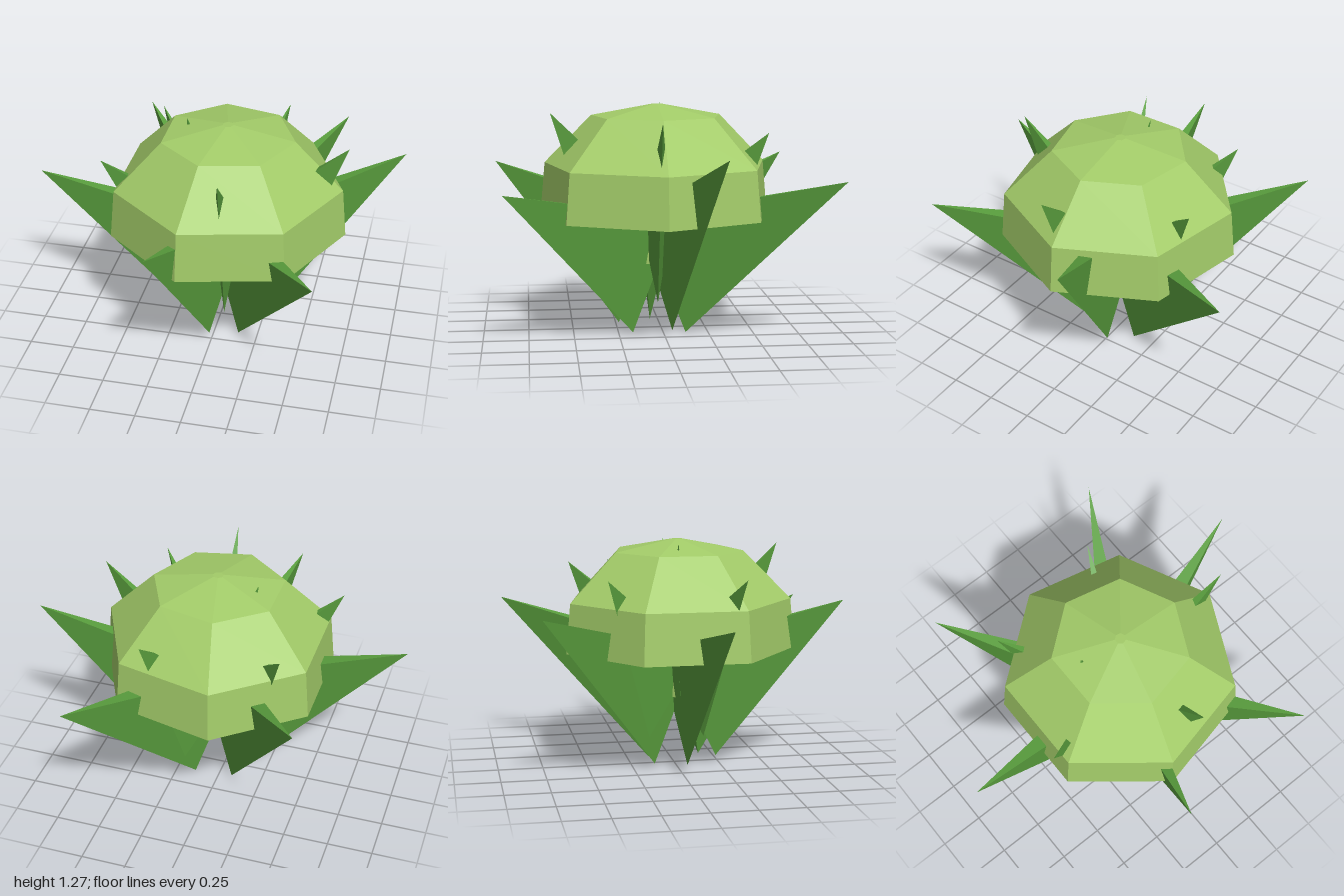
import * as THREE from 'three';
import { ConvexGeometry } from 'three/addons/geometries/ConvexGeometry.js';

const CENTRE = { x: 0.04, z: 0.027 };

const domeGreen = new THREE.MeshStandardMaterial({ color: 0xa3cc69, flatShading: true });
domeGreen.name = 'light green';
const leafGreen = new THREE.MeshStandardMaterial({ color: 0x5a9f3e, flatShading: true });
leafGreen.name = 'leaf green';

// Wedge leaf: a sharp outer edge from tip to foot, widening to a short edge near the middle
function leaf(name, tip, foot, innerY, halfWidth) {
  const dir = new THREE.Vector3(tip[0] - CENTRE.x, 0, tip[2] - CENTRE.z).normalize();
  const side = new THREE.Vector3(-dir.z, 0, dir.x);
  const inner = new THREE.Vector3(CENTRE.x, innerY, CENTRE.z).addScaledVector(dir, -0.06);
  const geometry = new ConvexGeometry([
    new THREE.Vector3(...tip),
    new THREE.Vector3(...foot),
    inner.clone().addScaledVector(side, halfWidth),
    inner.clone().addScaledVector(side, -halfWidth),
  ]);
  const mesh = new THREE.Mesh(geometry, leafGreen);
  mesh.name = name;
  return mesh;
}

export function createModel() {
  const model = new THREE.Group();
  model.name = 'plant';

  // Seven-sided head with a shallow conical underside
  const profile = [[0, 0.565], [0.663, 0.67], [0.637, 0.947], [0.37, 1.215], [0.03, 1.28], [0, 1.28]]
    .map(([r, y]) => new THREE.Vector2(r, y));
  const head = new THREE.Mesh(new THREE.LatheGeometry(profile, 7, Math.PI / 2), domeGreen);
  head.position.set(CENTRE.x + 0.006, 0, CENTRE.z);
  head.name = 'head';
  model.add(head);

  // Short stem under the head
  const stem = new THREE.Mesh(new THREE.CylinderGeometry(0.135, 0.135, 0.22, 7), domeGreen);
  stem.position.set(CENTRE.x, 0.51, CENTRE.z);
  stem.name = 'stem';
  model.add(stem);

  // Large outer leaves: tip, foot
  const outer = [
    [[-1, 0.92, 0.12], [-0.15, 0.02, 0.05]],
    [[-0.6, 0.94, -0.79], [-0.08, 0.02, -0.125]],
    [[0.59, 0.9, -0.93], [0.14, 0.005, -0.125]],
    [[0.99, 1.065, -0.24], [0.28, 0.05, -0.035]],
    [[0.65, 0.86, 0.875], [0.14, 0.01, 0.17]],
    [[-0.2, 0.945, 0.925], [-0.015, 0.035, 0.24]],
  ];
  for (const [tip, foot] of outer) model.add(leaf('outerLeaf', tip, foot, 0.65, 0.095));

  // Steeper inner leaves whose tips pierce the head
  const innerLeaves = [
    [[0.71, 1.225, 0.06], [0.34, 0.22, 0.05]],
    [[0.115, 1.24, 0.62], [0.085, 0.24, 0.3]],
    [[-0.6, 1.12, 0.28], [-0.2, 0.2, 0.13]],
    [[-0.43, 1.11, -0.43], [-0.17, 0.2, -0.17]],
    [[0.29, 1.135, -0.56], [0.16, 0.2, -0.25]],
    [[-0.19, 1.275, -0.01], [-0.18, 0.42, 0]],
  ];
  for (const [tip, foot] of innerLeaves) model.add(leaf('innerLeaf', tip, foot, 0.6, 0.085));

  return model;
}
